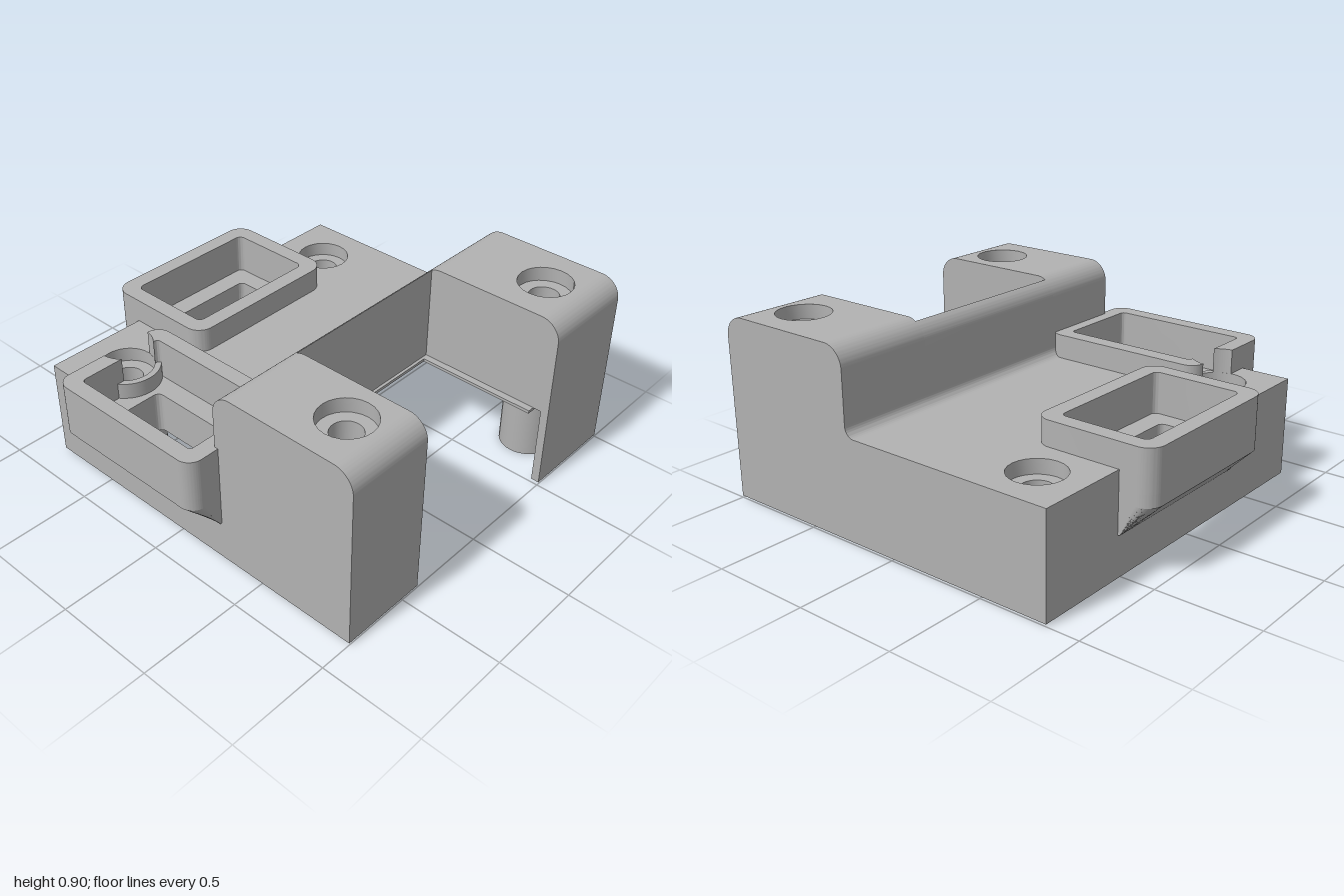
import * as THREE from 'three';
import { toCreasedNormals } from 'three/addons/utils/BufferGeometryUtils.js';

const PI = Math.PI;
const BASE = 0.01, LOW = 0.5, HIGH = 0.9, ROOF = 0.08, WALL = 0.04;

// Four rounded corners, each an arc; reverse walks them the other way round
function corners(path, x0, z0, x1, z1, r, reverse = false) {
  const list = [[x1 - r, z0 + r, -PI / 2], [x1 - r, z1 - r, 0], [x0 + r, z1 - r, PI / 2], [x0 + r, z0 + r, PI]];
  if (reverse) list.reverse();
  for (const [x, z, a] of list) {
    if (reverse) path.absarc(x, z, r, a + PI / 2, a, true);
    else path.absarc(x, z, r, a, a + PI / 2, false);
  }
  return path;
}

function polygon(points) {
  return new THREE.Shape(points.map(([a, b]) => new THREE.Vector2(a, b)));
}

function circleHole(x, z, r) {
  return new THREE.Path().absarc(x, z, r, 0, PI * 2, true);
}

export function createModel() {
  const model = new THREE.Group();
  const grey = new THREE.MeshStandardMaterial({ color: 0xb2b2b2 });
  grey.name = 'plain grey';

  function add(name, geometry) {
    const mesh = new THREE.Mesh(toCreasedNormals(geometry, 0.5), grey);
    mesh.name = name;
    model.add(mesh);
  }
  function extrude(shape, depth) {
    return new THREE.ExtrudeGeometry(shape, { depth, bevelEnabled: false, curveSegments: 12 });
  }
  // Plan outline (x, z) raised from y0 to y1
  function slab(shape, y0, y1) {
    return extrude(shape, y1 - y0).rotateX(PI / 2).translate(0, y1, 0);
  }
  // Side profile (z, y) stretched from x0 to x1
  function across(shape, x0, x1) {
    return extrude(shape, x1 - x0).rotateY(-PI / 2).translate(x1, 0, 0);
  }
  function box(name, x0, x1, y0, y1, z0, z1) {
    add(name, new THREE.BoxGeometry(x1 - x0, y1 - y0, z1 - z0)
      .translate((x0 + x1) / 2, (y0 + y1) / 2, (z0 + z1) / 2));
  }

  // Low roof, notched for the two trays and for the screw hole beside one of them
  const roof = new THREE.Shape();
  roof.moveTo(-0.84, -0.84);
  for (const [x, z] of [[-0.28, -0.84], [-0.28, -0.44], [0.5, -0.44], [0.5, -0.84], [1, -0.84], [1, 0.26],
    [-0.84, 0.26], [-0.84, 0.23], [-0.44, 0.23], [-0.44, -0.55], [-0.48, -0.55]]) roof.lineTo(x, z);
  roof.absarc(-0.6, -0.6, 0.13, 0.395, PI - 0.395 - PI * 2, true);
  roof.lineTo(-0.84, -0.55);
  roof.holes.push(circleHole(0.76, -0.6, 0.13));
  add('lowRoof', slab(roof, LOW - ROOF, LOW));

  // Riser between the low roof and the raised front, rounded at foot and crest
  function riser(zEnd, bottom) {
    const s = new THREE.Shape();
    s.moveTo(0.2, LOW);
    s.absarc(0.2, LOW + 0.05, 0.05, -PI / 2, 0, false);
    s.lineTo(0.25, 0.8);
    s.absarc(0.35, 0.8, 0.1, PI, Math.acos((zEnd - 0.35) / 0.1), true);
    if (zEnd > 0.3) s.lineTo(zEnd, HIGH - ROOF);
    s.lineTo(0.3, HIGH - ROOF);
    s.lineTo(0.3, bottom);
    s.lineTo(0.25, bottom);
    s.lineTo(0.25, LOW - 0.01);
    s.lineTo(0.2, LOW - 0.01);
    return s;
  }
  add('middleRiser', across(riser(0.3, 0.41), -0.4, 0.51));

  // Two raised front legs
  const front = new THREE.Shape();
  front.moveTo(0.96, BASE);
  front.lineTo(1, BASE);
  front.absarc(0.9, 0.8, 0.1, 0, PI / 2, false);
  front.lineTo(0.9, HIGH - ROOF);
  front.lineTo(0.96, HIGH - ROOF);
  for (const [x0, x1, holeX] of [[-0.84, -0.4, -0.6], [0.51, 1, 0.76]]) {
    add('legFrontPanel', across(front, x0, x1));
    add('legRiser', across(riser(0.35, 0.42), x0, x1));
    const top = polygon([[x0, 0.35], [x1, 0.35], [x1, 0.9], [x0, 0.9]]);
    top.holes.push(circleHole(holeX, 0.755, 0.13));
    add('legTop', slab(top, HIGH - ROOF, HIGH));
  }
  box('notchWallRight', -0.4 - WALL, -0.4, 0.41, HIGH - ROOF, 0.3, 0.96);
  box('notchWallLeft', 0.51, 0.51 + WALL, 0.41, HIGH - ROOF, 0.3, 0.96);

  // Thin ledge round the lower edge of the front notch
  add('notchLedge', slab(polygon([[-0.44, 0.26], [0.55, 0.26], [0.55, 0.92], [0.475, 0.92], [0.475, 0.315],
    [-0.35, 0.315], [-0.35, 0.92], [-0.44, 0.92]]), 0.397, 0.412));

  // Outer walls
  const side = new THREE.Shape();
  side.moveTo(-0.84, BASE);
  side.lineTo(1, BASE);
  side.absarc(0.9, 0.8, 0.1, 0, PI / 2, false);
  side.absarc(0.35, 0.8, 0.1, PI / 2, PI, false);
  side.lineTo(0.25, LOW - ROOF);
  side.lineTo(-0.84, LOW - ROOF);
  add('leftWall', across(side, 1 - WALL, 1));
  add('rightWall', across(side, -0.84, -0.82));
  box('backWall', -0.84, 1, BASE, LOW - ROOF, -0.84, -0.82);
  // Inner wall thickness, left out below the tray slots
  for (const [a, b] of [[-0.82, -0.41], [0.1, 0.97]]) box('rightWallLining', -0.82, -0.8, BASE, 0.42, a, b);
  for (const [a, b] of [[-0.82, -0.145], [0.365, 0.97]]) box('backWallLining', a, b, BASE, 0.42, -0.82, -0.8);
  box('rightLegLining', -0.82, -0.8, 0.42, HIGH - ROOF, 0.3, 0.97);

  // Trays: a rim, a slotted floor and an underside sloping in to the wall
  function tray(name, rim, body, slot, axis) {
    body.holes.push(corners(new THREE.Path(), ...slot, 0.03));
    add(name + 'Rim', slab(rim, 0.42, 0.62));
    add(name + 'Floor', slab(body, 0.36, 0.42));
    const under = slab(body, 0.21, 0.36);
    const p = under.attributes.position;
    for (let i = 0; i < p.count; i++) {
      if (p.getY(i) < 0.22) p.setComponent(i, axis, Math.max(p.getComponent(i, axis), -0.85));
    }
    add(name + 'Underside', under);
  }
  const backOuter = [-0.32, -1, 0.54, -0.4, 0.08];
  const backRim = corners(new THREE.Shape(), ...backOuter);
  backRim.holes.push(corners(new THREE.Path(), -0.24, -0.92, 0.46, -0.48, 0.03));
  tray('backTray', backRim, corners(new THREE.Shape(), ...backOuter), [-0.145, -0.82, 0.365, -0.58], 2);

  // The side tray has a round bite where the screw hole passes
  function bittenOutline() {
    const s = new THREE.Shape();
    s.moveTo(-0.47, -0.59);
    corners(s, -1, -0.59, -0.4, 0.27, 0.07);
    s.lineTo(-0.73, -0.59);
    return s;
  }
  const sideBody = bittenOutline();
  sideBody.absarc(-0.6, -0.6, 0.13, PI - 0.077, 0.077, true);
  const sideRim = bittenOutline();
  sideRim.absarc(-0.6, -0.6, 0.13, PI - 0.077, PI - 0.764, true);
  corners(sideRim, -0.92, -0.51, -0.48, 0.19, 0.02, true);
  sideRim.absarc(-0.6, -0.6, 0.13, 0.764, 0.077, true);
  tray('sideTray', sideRim, sideBody, [-0.82, -0.41, -0.58, 0.1], 0);

  // Screw bosses with through holes and sunk seats
  function boss(x, z, r, top) {
    const seat = top - 0.07;
    const rows = [[0.072, 0], [r, 0]];
    if (r > 0.13) rows.push([r, top - 0.001], [0.13, top - 0.001], [0.13, seat]);
    else rows.push([r, seat]);
    rows.push([0.072, seat], [0.072, 0]);
    const points = rows.map(([a, b]) => new THREE.Vector2(a, b));
    add('screwBoss', new THREE.LatheGeometry(points, 40).translate(x, 0, z));
  }
  boss(-0.6, -0.6, 0.16, LOW);
  boss(0.76, -0.6, 0.13, LOW);
  boss(-0.6, 0.755, 0.13, HIGH);
  boss(0.76, 0.755, 0.13, HIGH);

  return model;
}
